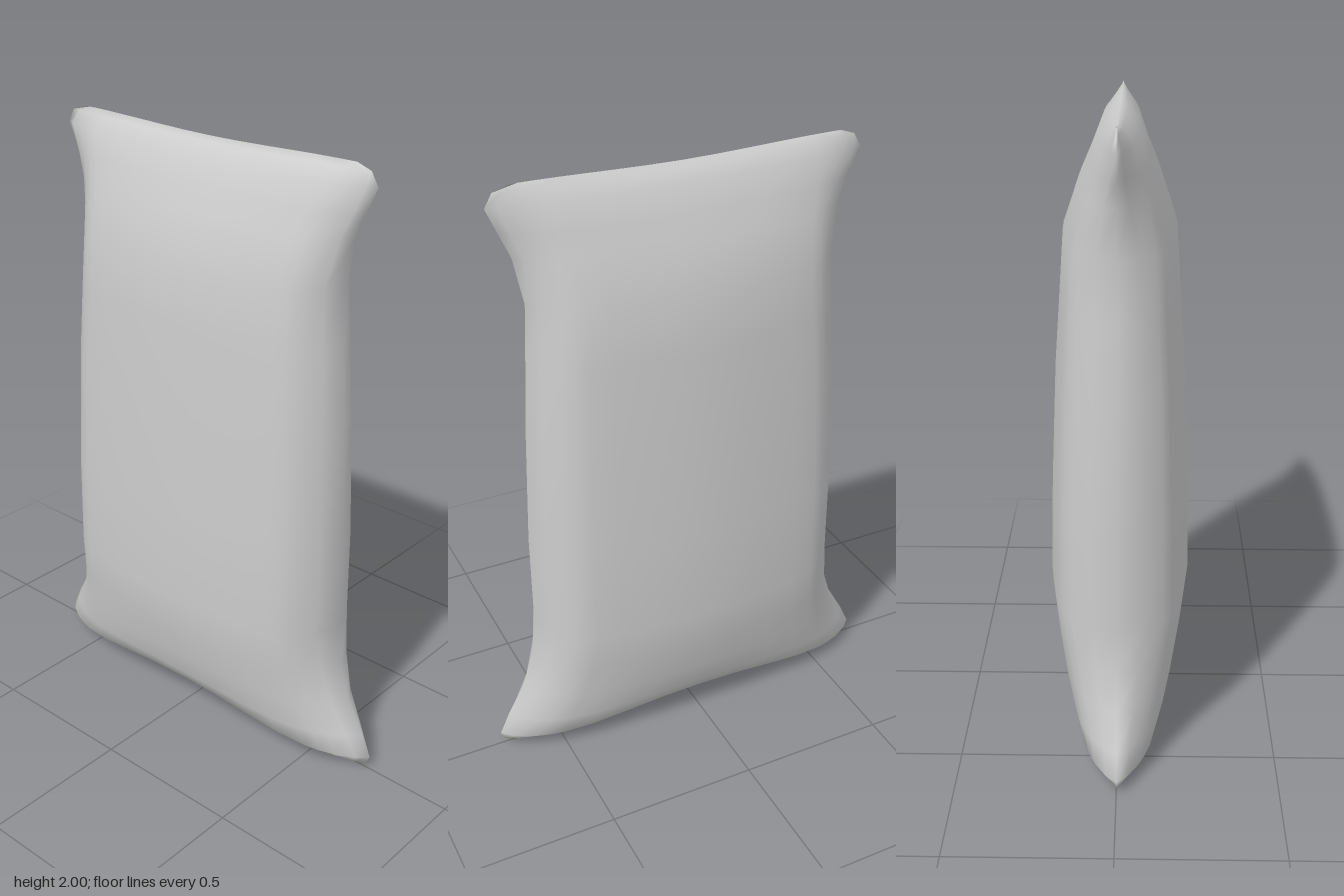
import * as THREE from 'three';
import { mergeVertices } from 'three/addons/utils/BufferGeometryUtils.js';

// Quarter cross-section, middle to side edge: [x, z on the rounded body, z on the pinched ears]
const SECTION = [
  [0, 1, 1], [0.2, 0.985, 0.98], [0.4, 0.935, 0.94], [0.58, 0.88, 0.87], [0.73, 0.81, 0.74],
  [0.8, 0.74, 0.63], [0.87, 0.62, 0.48], [0.95, 0.35, 0.24], [1, 0, 0],
];

// Levels from bottom seam to top seam: [y, rise at the middle, half width, half depth, pinch]
const LEVELS = [
  [0, 0.04, 0.63, 0, 1],
  [0.015, 0.04, 0.69, 0.08, 1],
  [0.045, 0.06, 0.705, 0.14, 1],
  [0.12, 0.03, 0.67, 0.165, 1],
  [0.225, 0.01, 0.61, 0.19, 0.7],
  [0.35, 0, 0.572, 0.212, 0.3],
  [0.49, 0, 0.555, 0.23, 0],
  [0.8, 0, 0.555, 0.223, 0],
  [1.2, 0, 0.54, 0.207, 0],
  [1.45, 0, 0.525, 0.19, 0],
  [1.63, 0, 0.515, 0.178, 0.1],
  [1.78, 0, 0.545, 0.127, 0.6],
  [1.86, 0, 0.58, 0.092, 1],
  [1.94, 0, 0.615, 0.06, 1],
  [1.983, -0.008, 0.59, 0.02, 1],
  [2, -0.012, 0.54, 0, 1],
];

// One closed loop: right edge, across the front, left edge, across the back
function sectionLoop() {
  const n = SECTION.length - 1;
  const loop = [];
  for (let i = 0; i < 4 * n; i++) {
    const k = i % (2 * n);
    const [x, body, ear] = SECTION[Math.abs(n - k)];
    const side = i < 2 * n ? 1 : -1;
    loop.push([side * (k < n ? 1 : -1) * x, side * body, side * ear]);
  }
  return loop;
}

function sackGeometry() {
  const loop = sectionLoop();
  const count = loop.length;
  const positions = [];
  const indices = [];
  LEVELS.forEach(([y, rise, width, depth, pinch], row) => {
    loop.forEach(([x, body, ear], i) => {
      const lift = rise * 0.5 * (1 + Math.cos(Math.PI * x));
      positions.push(x * width, y + lift, depth * THREE.MathUtils.lerp(body, ear, pinch));
      if (row === LEVELS.length - 1) return;
      const a = row * count + i;
      const b = row * count + ((i + 1) % count);
      indices.push(a, a + count, b, b, a + count, b + count);
    });
  });
  const geometry = new THREE.BufferGeometry();
  geometry.setAttribute('position', new THREE.Float32BufferAttribute(positions, 3));
  geometry.setIndex(indices);
  // Joins front and back along the two seams
  const merged = mergeVertices(geometry, 1e-4);
  merged.computeVertexNormals();
  return merged;
}

export function createModel() {
  const group = new THREE.Group();
  group.name = 'sack';
  const body = new THREE.Mesh(sackGeometry(), new THREE.MeshStandardMaterial({ color: 0xcccccc }));
  body.name = 'sackBody';
  group.add(body);
  return group;
}
